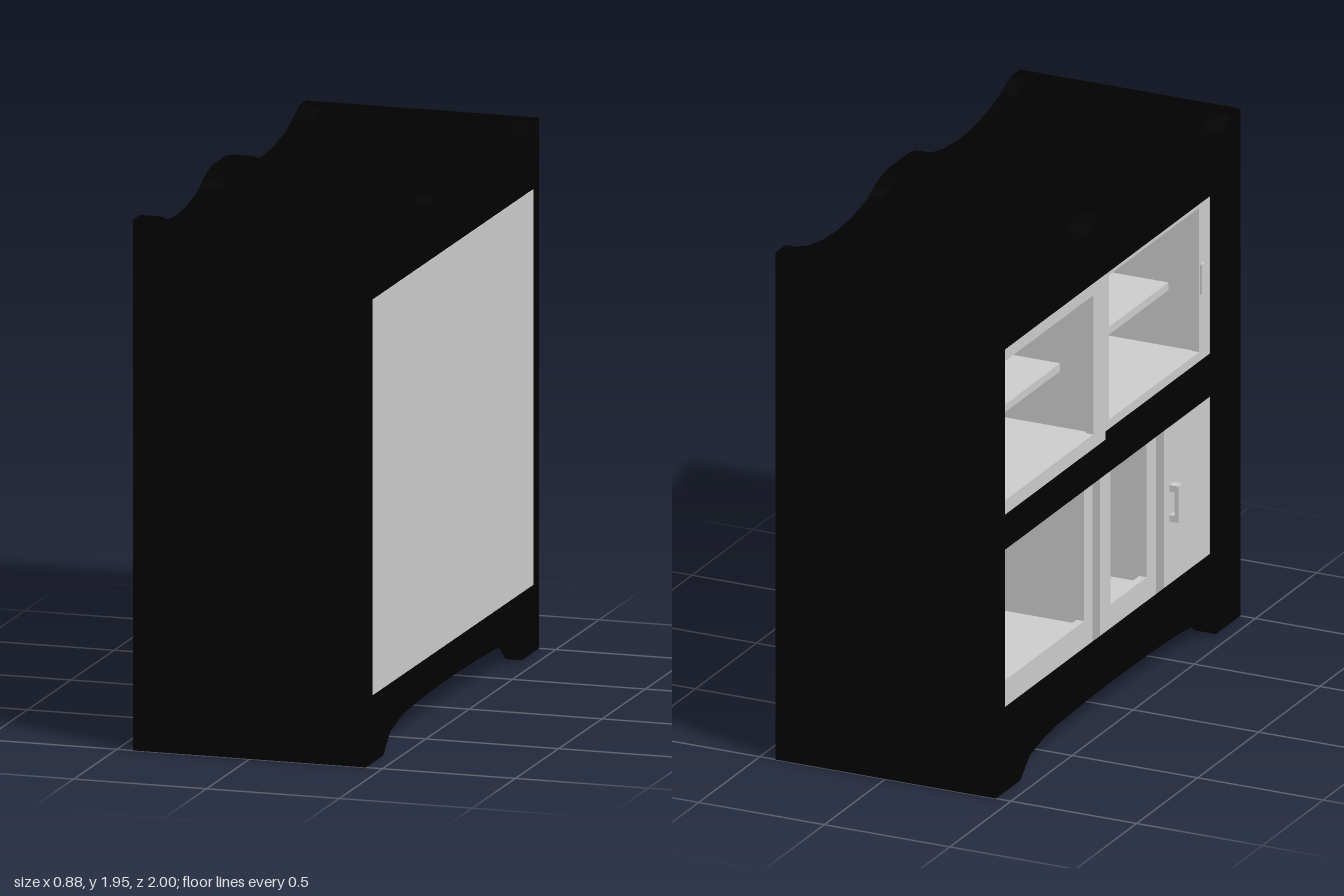
import * as THREE from 'three';

const black = new THREE.MeshStandardMaterial({ color: 0x010101 });
const grey = new THREE.MeshStandardMaterial({ color: 0xcccccc });
const FRONT = -0.44; // door face of the cabinet
const BACK = 0.42;   // inner face of the back panel
const W = 0.925;     // half width of the openings

export function createModel() {
  const root = new THREE.Group();
  root.name = 'cabinet';

  const add = (name, geometry, material, parent = root) => {
    const mesh = new THREE.Mesh(geometry, material);
    mesh.name = name;
    parent.add(mesh);
    return mesh;
  };

  // Box given by its limits on each axis
  const box = (name, x0, x1, y0, y1, z0, z1, material = grey, parent = root) => {
    const mesh = add(name, new THREE.BoxGeometry(x1 - x0, y1 - y0, z1 - z0), material, parent);
    mesh.position.set((x0 + x1) / 2, (y0 + y1) / 2, (z0 + z1) / 2);
  };

  const rect = (Type, z0, z1, y0, y1) => new Type([
    new THREE.Vector2(z0, y0), new THREE.Vector2(z1, y0),
    new THREE.Vector2(z1, y1), new THREE.Vector2(z0, y1),
  ]);

  // Extrudes a (z, y) outline from x1 towards -x
  const slab = (name, shape, x0, x1, material) => {
    const geometry = new THREE.ExtrudeGeometry(shape, { depth: x1 - x0, bevelEnabled: false });
    geometry.rotateY(-Math.PI / 2);
    geometry.translate(x1, 0, 0);
    add(name, geometry, material);
  };

  // Outline with arched foot and scalloped crest: one half, then its mirror
  const half = [[0, 0.118], [0.25, 0.115], [0.5, 0.107], [0.61, 0.095], [0.72, 0.07], [0.8, 0], [1, 0],
    [1, 1.95], [0.92, 1.95], [0.84, 1.915], [0.74, 1.884], [0.62, 1.863], [0.5, 1.857], [0.38, 1.865],
    [0.3, 1.88], [0.24, 1.897], [0.2, 1.917], [0.14, 1.94], [0.08, 1.95]];
  const mirrored = half.slice(1).reverse().map(([z, y]) => [-z, y]);
  const outline = () => new THREE.Shape([...half, ...mirrored].map(([z, y]) => new THREE.Vector2(z, y)));

  // Front frame with upper and lower openings; back frame around the back panel
  const frontShape = outline();
  frontShape.holes.push(rect(THREE.Path, -W, W, 0.25, 0.93), rect(THREE.Path, -W, W, 1.02, 1.7));
  slab('frontFrame', frontShape, FRONT, FRONT + 0.085, black);
  const backShape = outline();
  backShape.holes.push(rect(THREE.Path, -W, W, 0.25, 1.702));
  slab('backFrame', backShape, 0.375, 0.437, black);
  box('backPanel', BACK, 0.44, 0.25, 1.702, -W, W);

  // Ends, top tray board and underside
  for (const s of [-1, 1]) {
    box('endPanel', FRONT + 0.085, 0.375, 0, 1.95, s * 0.975 - 0.025, s * 0.975 + 0.025, black);
  }
  box('topBoard', FRONT + 0.085, 0.375, 1.72, 1.76, -0.95, 0.95, black);
  box('bottomBoard', FRONT + 0.085, 0.375, 0.17, 0.185, -0.95, 0.95, black);

  // Interior lining of one storey; floor and dividers start behind the door tracks
  const lining = (name, y0, y1, track, dividers) => {
    const group = new THREE.Group();
    group.name = name;
    root.add(group);
    const a = FRONT + 0.085, t = FRONT + track;
    box('liningFloor', t, BACK, y0 - 0.02, y0, -W, W, grey, group);
    box('liningCeiling', a, BACK, y1 - 0.01, y1, -W, W, grey, group);
    for (const s of [-1, 1]) box('liningSide', a, BACK, y0, y1, s * 0.935 - 0.01, s * 0.935 + 0.01, grey, group);
    for (const z of dividers) box('divider', t, BACK, y0, y1, z, z + 0.03, grey, group);
  };
  lining('upperInterior', 1.02, 1.7, 0.118, [0.04]);
  lining('lowerInterior', 0.25, 0.93, 0.187, [0.1, 0.57]);
  box('leftShelf', FRONT + 0.25, BACK, 1.235, 1.265, -W, 0.04);
  box('rightShelf', FRONT + 0.25, BACK, 1.235, 1.265, 0.07, W);

  // Sliding door, set back from the face, with an optional open window
  const door = (name, setBack, z0, z1, y0, y1, window) => {
    const shape = rect(THREE.Shape, z0, z1, y0, y1);
    if (window) shape.holes.push(rect(THREE.Path, ...window));
    slab(name, shape, FRONT + setBack, FRONT + setBack + 0.03, grey);
  };
  door('upperDoor', 0.05, -W, 0, 1.02, 1.7, [-0.835, -0.1, 1.075, 1.61]);
  door('upperDoor', 0.086, 0, W, 0.98, 1.7, [0.1, 0.84, 1.055, 1.61]);
  door('lowerWideDoor', 0.155, -W, 0.13, 0.185, 0.93, [-0.82, 0.04, 0.29, 0.83]);
  door('lowerNarrowDoor', 0.12, 0.1, 0.58, 0.185, 0.93, [0.185, 0.48, 0.31, 0.83]);
  door('lowerSolidDoor', 0.086, 0.55, W, 0.185, 0.93);

  // Slim pulls on the upper doors
  for (const [setBack, z] of [[0.05, -0.87], [0.086, 0.86]]) {
    box('upperPull', FRONT + setBack - 0.008, FRONT + setBack, 1.275, 1.39, z - 0.013, z + 0.013);
  }

  // Bracket handle on the solid door
  box('handleBar', FRONT + 0.05, FRONT + 0.065, 0.49, 0.63, 0.595, 0.63);
  for (const y of [0.49, 0.605]) box('handlePost', FRONT + 0.065, FRONT + 0.087, y, y + 0.025, 0.595, 0.63);

  return root;
}
